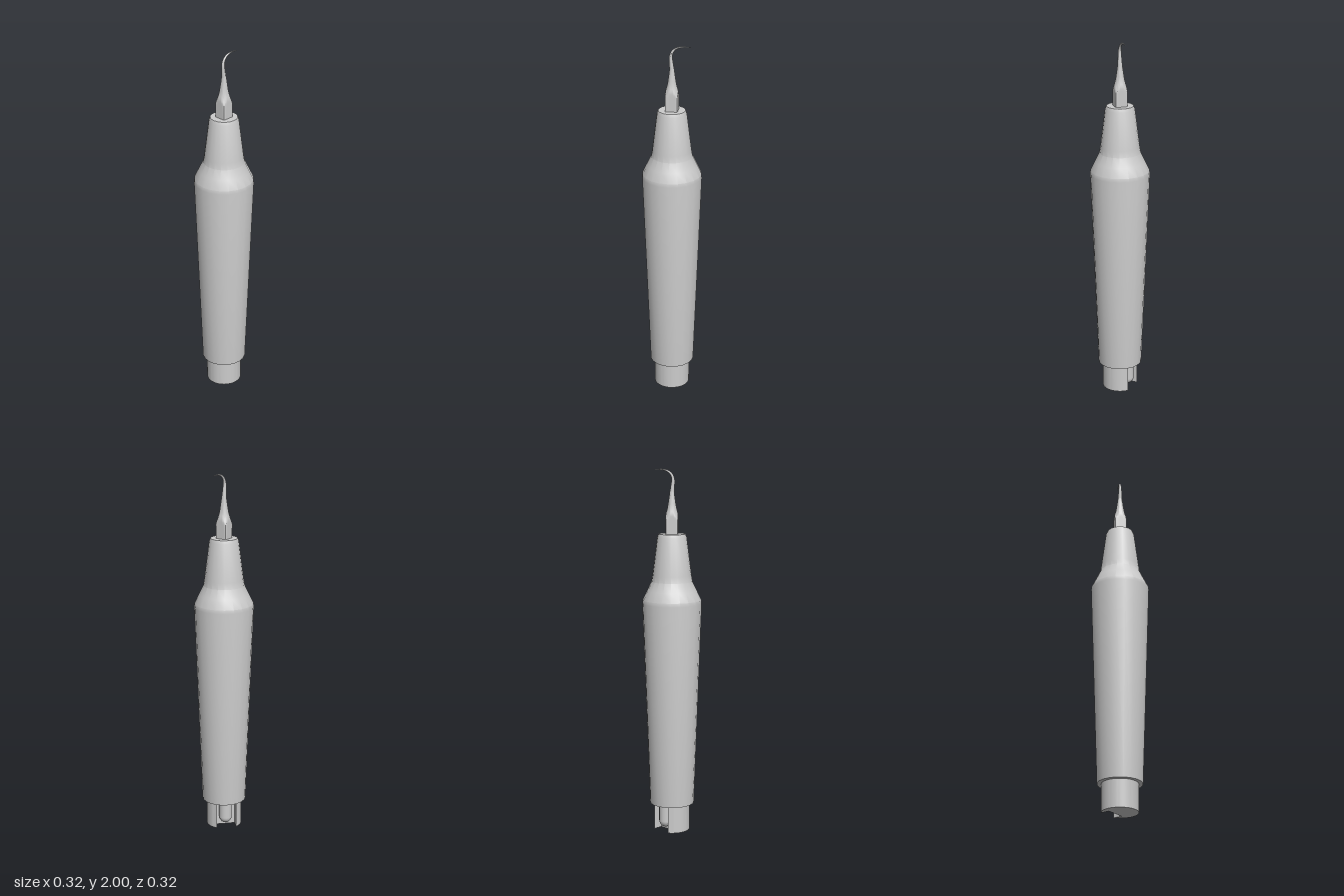
import * as THREE from 'three';
import { toCreasedNormals } from 'three/addons/utils/BufferGeometryUtils.js';

const material = new THREE.MeshStandardMaterial({ color: 0xcccccc });

function part(name, geometry, crease) {
  const mesh = new THREE.Mesh(crease ? toCreasedNormals(geometry, crease) : geometry, material);
  mesh.name = name;
  return mesh;
}

const points = (list) => list.map(([x, y]) => new THREE.Vector2(x, y));

// Tapered grip with a shoulder and a slim nose
function handle() {
  const profile = points([
    [0, 0.153], [0.122, 0.153], [0.162, 1.275], [0.16, 1.295], [0.136, 1.345],
    [0.112, 1.395], [0.106, 1.43], [0.08, 1.635], [0.073, 1.653], [0, 1.653],
  ]);
  return part('handle', new THREE.LatheGeometry(profile, 20), 0.4);
}

// Round connector at the bottom with a slot on its back corner
function connector() {
  const r = 0.098, half = 0.055, floor = 0.03, q = Math.PI / 4;
  const a = Math.asin(half / r);
  const c = Math.cos(q), s = Math.sin(q);
  const shape = new THREE.Shape();
  shape.absarc(0, 0, r, q + a, q - a + Math.PI * 2, false);
  shape.lineTo(floor * c + half * s, floor * s - half * c);
  shape.lineTo(floor * c - half * s, floor * s + half * c);
  shape.closePath();
  const geometry = new THREE.ExtrudeGeometry(shape, { depth: 0.16, bevelEnabled: false, curveSegments: 28 });
  return part('connector', geometry.rotateX(-Math.PI / 2), 0.5);
}

// Round-ended pin inside the slot
function pin() {
  const mesh = part('connectorPin', new THREE.CapsuleGeometry(0.036, 0.1, 6, 16));
  mesh.position.set(0.034, 0.106, -0.034);
  return mesh;
}

// Square shank trimmed by a turned profile, so it blends into a round neck
function shank() {
  const profile = points([
    [0.0445, 1.64], [0.0445, 1.728], [0.041, 1.74], [0.037, 1.75], [0.033, 1.762], [0.029, 1.775],
    [0.024, 1.795], [0.021, 1.815], [0.018, 1.835], [0.0145, 1.86], [0.0125, 1.88],
  ]);
  const geometry = new THREE.LatheGeometry(profile, 48);
  const pos = geometry.attributes.position;
  for (let i = 0; i < pos.count; i++) {
    const x = pos.getX(i), z = pos.getZ(i);
    const k = Math.min(1, 0.0335 / Math.max(Math.abs(x), Math.abs(z)));
    pos.setXYZ(i, x * k, pos.getY(i), z * k);
  }
  return part('shank', geometry, 0.5);
}

// Hooked needle: a tube narrowed towards its point
function needle() {
  const path = new THREE.CatmullRomCurve3([
    [0, 1.87], [-0.004, 1.91], [-0.006, 1.945], [0.003, 1.971],
    [0.024, 1.989], [0.055, 1.997], [0.1, 1.996],
  ].map(([x, y]) => new THREE.Vector3(x, y, 0)));
  const steps = 40, sides = 14;
  const geometry = new THREE.TubeGeometry(path, steps, 1, sides);
  const pos = geometry.attributes.position;
  const v = new THREE.Vector3();
  for (let i = 0; i < pos.count; i++) {
    const t = Math.floor(i / (sides + 1)) / steps;
    const centre = path.getPointAt(t);
    v.fromBufferAttribute(pos, i).sub(centre).multiplyScalar(0.0005 + 0.0125 * Math.pow(1 - t, 0.95)).add(centre);
    pos.setXYZ(i, v.x, v.y, v.z);
  }
  geometry.computeVertexNormals();
  return part('needle', geometry);
}

export function createModel() {
  const group = new THREE.Group();
  group.name = 'dentalScaler';
  group.add(handle(), connector(), pin(), shank(), needle());
  return group;
}
